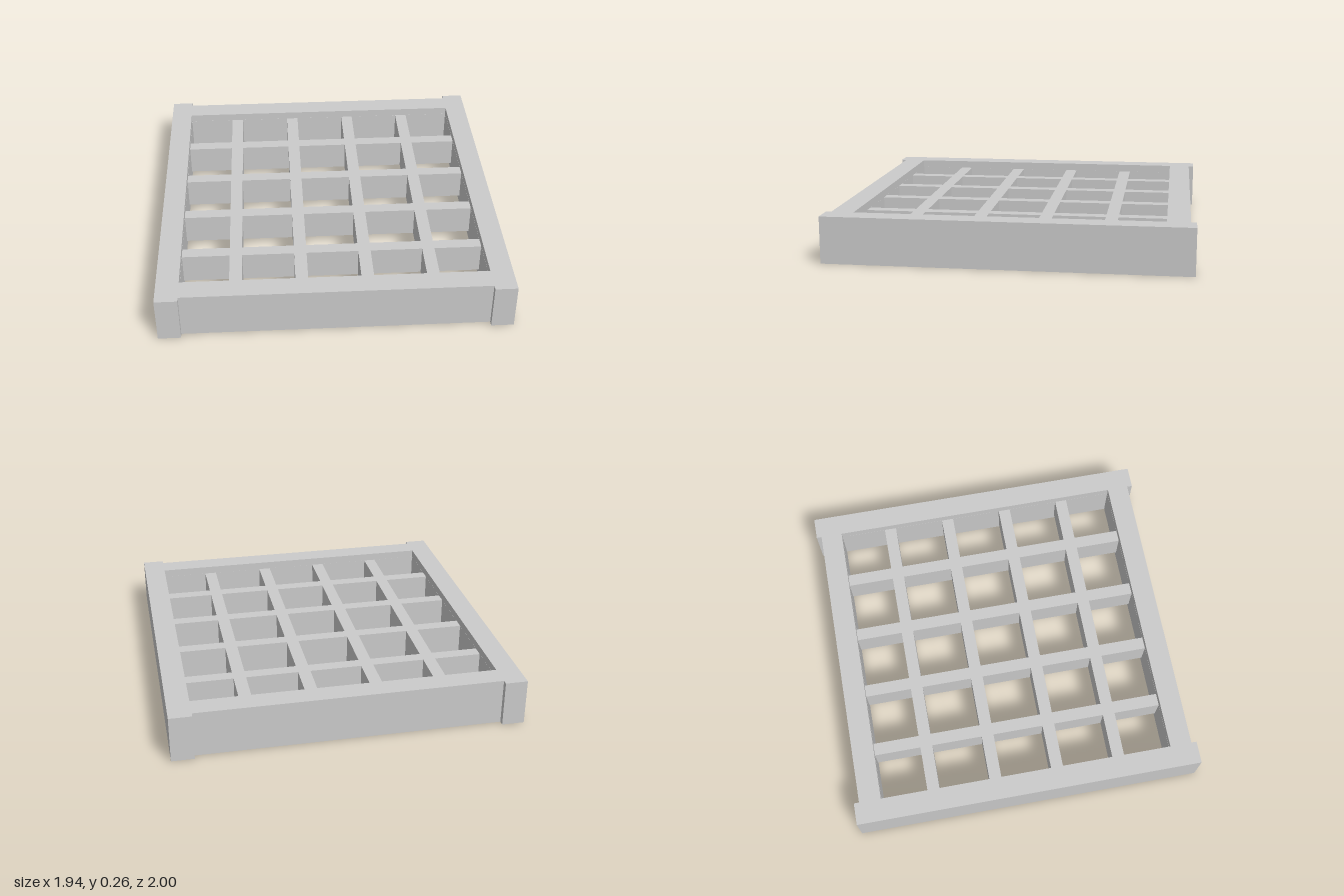
import * as THREE from 'three';

const HEIGHT = 0.26;     // frame height
const INNER = 0.845;     // half size of the square opening
const SIDE = 0.97;       // outer edge of the frame in x, and of the end rails in z
const LENGTH = 2;        // side rails run past the end rails
const BAR = 0.07;        // lattice bar width
const BARS = [-0.543, -0.181, 0.181, 0.543];
const LATTICE_Y = 0.045; // lattice is recessed from both faces of the frame
const LATTICE_H = 0.17;

const material = new THREE.MeshStandardMaterial({ color: 0xcccccc, flatShading: true });

function addMesh(group, name, geometry, x, y, z) {
  const mesh = new THREE.Mesh(geometry, material);
  mesh.name = name;
  mesh.position.set(x, y, z);
  group.add(mesh);
}

// Closed rectangle outline between two corners
function rectangle(Type, x0, y0, x1, y1) {
  return new Type([[x0, y0], [x1, y0], [x1, y1], [x0, y1]].map(([x, y]) => new THREE.Vector2(x, y)));
}

// One crossed-bar panel with a hole for every cell
function latticeGeometry() {
  const shape = rectangle(THREE.Shape, -INNER, -INNER, INNER, INNER);
  // Outer cells stop just inside the rails so the holes stay within the outline
  const edge = INNER - 0.0005;
  const starts = [-edge, ...BARS.map((b) => b + BAR / 2)];
  const ends = [...BARS.map((b) => b - BAR / 2), edge];
  for (let i = 0; i < starts.length; i++) {
    for (let j = 0; j < starts.length; j++) {
      shape.holes.push(rectangle(THREE.Path, starts[i], starts[j], ends[i], ends[j]));
    }
  }
  const geometry = new THREE.ExtrudeGeometry(shape, { depth: LATTICE_H, bevelEnabled: false });
  return geometry.rotateX(-Math.PI / 2);
}

export function createModel() {
  const model = new THREE.Group();
  model.name = 'latticeFrame';

  const rail = SIDE - INNER;
  const middle = (SIDE + INNER) / 2;
  for (const s of [1, -1]) {
    // Long side rails
    addMesh(model, s > 0 ? 'leftRail' : 'rightRail',
      new THREE.BoxGeometry(rail, HEIGHT, LENGTH), s * middle, HEIGHT / 2, 0);
    // End rails set slightly in from the side rail ends
    addMesh(model, s > 0 ? 'frontRail' : 'backRail',
      new THREE.BoxGeometry(INNER * 2, HEIGHT, rail), 0, HEIGHT / 2, s * middle);
  }

  // Crossed bars
  addMesh(model, 'lattice', latticeGeometry(), 0, LATTICE_Y, 0);
  return model;
}
